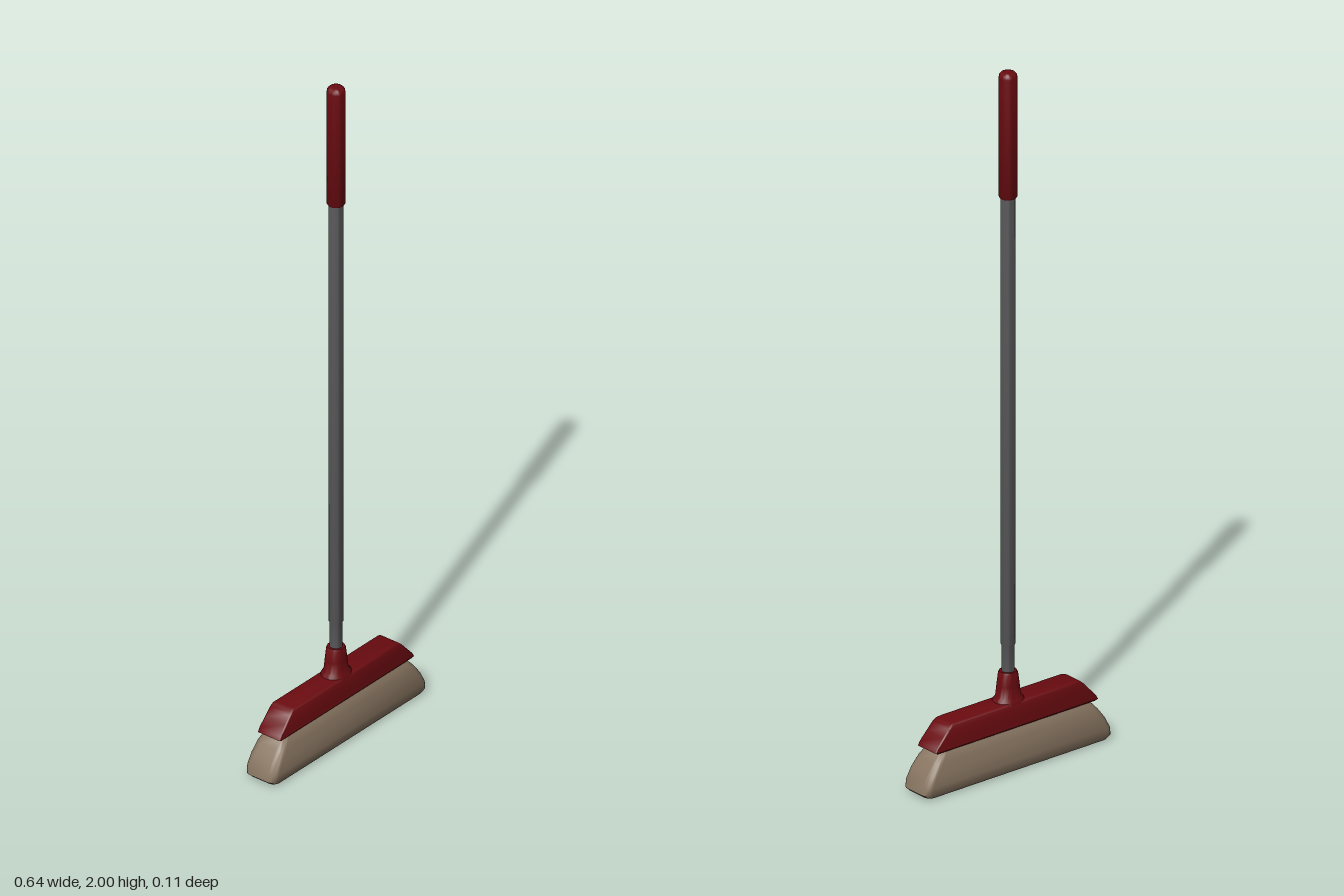
import * as THREE from 'three';
import { toCreasedNormals } from 'three/addons/utils/BufferGeometryUtils.js';

const SEG = 8; // steps per rounded corner

// Rounded-rectangle outline at height y: half width hx, half depth hz, corner radius r
function ring([y, hx, hz, r]) {
  const pts = [];
  for (let c = 0; c < 4; c++) {
    const sx = c === 0 || c === 3 ? 1 : -1;
    const sz = c < 2 ? 1 : -1;
    for (let i = 0; i <= SEG; i++) {
      const a = (c + i / SEG) * Math.PI / 2;
      pts.push([sx * (hx - r) + r * Math.cos(a), y, sz * (hz - r) + r * Math.sin(a)]);
    }
  }
  return pts;
}

// Closed solid through a stack of rings, bottom to top
function loft(sections, crease) {
  const rings = sections.map(ring);
  const n = rings[0].length;
  const pos = [];
  const tri = (...p) => p.forEach((v) => pos.push(...v));
  for (let i = 0; i < rings.length - 1; i++) {
    for (let j = 0; j < n; j++) {
      const k = (j + 1) % n;
      const [a, b, c, d] = [rings[i][j], rings[i][k], rings[i + 1][j], rings[i + 1][k]];
      tri(a, c, b);
      tri(b, c, d);
    }
  }
  const low = rings[0], high = rings[rings.length - 1];
  for (let j = 0; j < n; j++) {
    const k = (j + 1) % n;
    tri([0, low[0][1], 0], low[j], low[k]);
    tri([0, high[0][1], 0], high[k], high[j]);
  }
  const geo = new THREE.BufferGeometry();
  geo.setAttribute('position', new THREE.Float32BufferAttribute(pos, 3));
  return toCreasedNormals(geo, crease);
}

// Turned part from [radius, y] points
function turned(points) {
  const geo = new THREE.LatheGeometry(points.map((p) => new THREE.Vector2(...p)), 28);
  return toCreasedNormals(geo, 0.7);
}

export function createModel() {
  const group = new THREE.Group();
  const mat = (name, color) => new THREE.MeshStandardMaterial({ name, color });
  const red = mat('dark red plastic', 0x6a0b10);
  const grey = mat('grey metal', 0x5c5c5e);
  const tan = mat('tan bristle', 0x887561);
  const add = (name, geo, material) => {
    const mesh = new THREE.Mesh(geo, material);
    mesh.name = name;
    group.add(mesh);
  };

  // Bristle block: flares downward, rounded at the foot
  add('bristles', loft([
    [0.0, 0.29, 0.036, 0.02],
    [0.004, 0.31, 0.046, 0.02],
    [0.014, 0.321, 0.051, 0.022],
    [0.035, 0.317, 0.053, 0.022],
    [0.065, 0.302, 0.051, 0.022],
    [0.095, 0.28, 0.046, 0.02],
    [0.112, 0.265, 0.039, 0.018],
    [0.125, 0.25, 0.03, 0.016],
  ], 0.9), tan);

  // Head: long trapezoid with softened top edges
  add('head', loft([
    [0.12, 0.272, 0.035, 0.004],
    [0.124, 0.279, 0.038, 0.004],
    [0.135, 0.273, 0.038, 0.004],
    [0.16, 0.25, 0.0375, 0.005],
    [0.18, 0.232, 0.037, 0.006],
    [0.188, 0.223, 0.035, 0.007],
    [0.192, 0.212, 0.031, 0.008],
  ], 0.6), red);

  // Socket: flared foot, narrowing to a collar
  add('socket', loft([
    [0.185, 0.046, 0.036, 0.036],
    [0.195, 0.044, 0.034, 0.034],
    [0.203, 0.036, 0.028, 0.028],
    [0.235, 0.032, 0.026, 0.026],
    [0.268, 0.027, 0.025, 0.025],
    [0.274, 0.024, 0.023, 0.023],
  ], 0.7), red);

  // Pole with a slimmer lower end
  add('pole', turned([
    [0, 0.2], [0.0175, 0.2], [0.0175, 0.348], [0.0195, 0.352], [0.0195, 1.66], [0, 1.66],
  ]), grey);

  // Hand grip with rounded ends
  add('grip', turned([
    [0, 1.638], [0.022, 1.638], [0.025, 1.643], [0.025, 1.985],
    [0.0235, 1.993], [0.019, 1.998], [0.012, 2], [0, 2],
  ]), red);

  return group;
}
